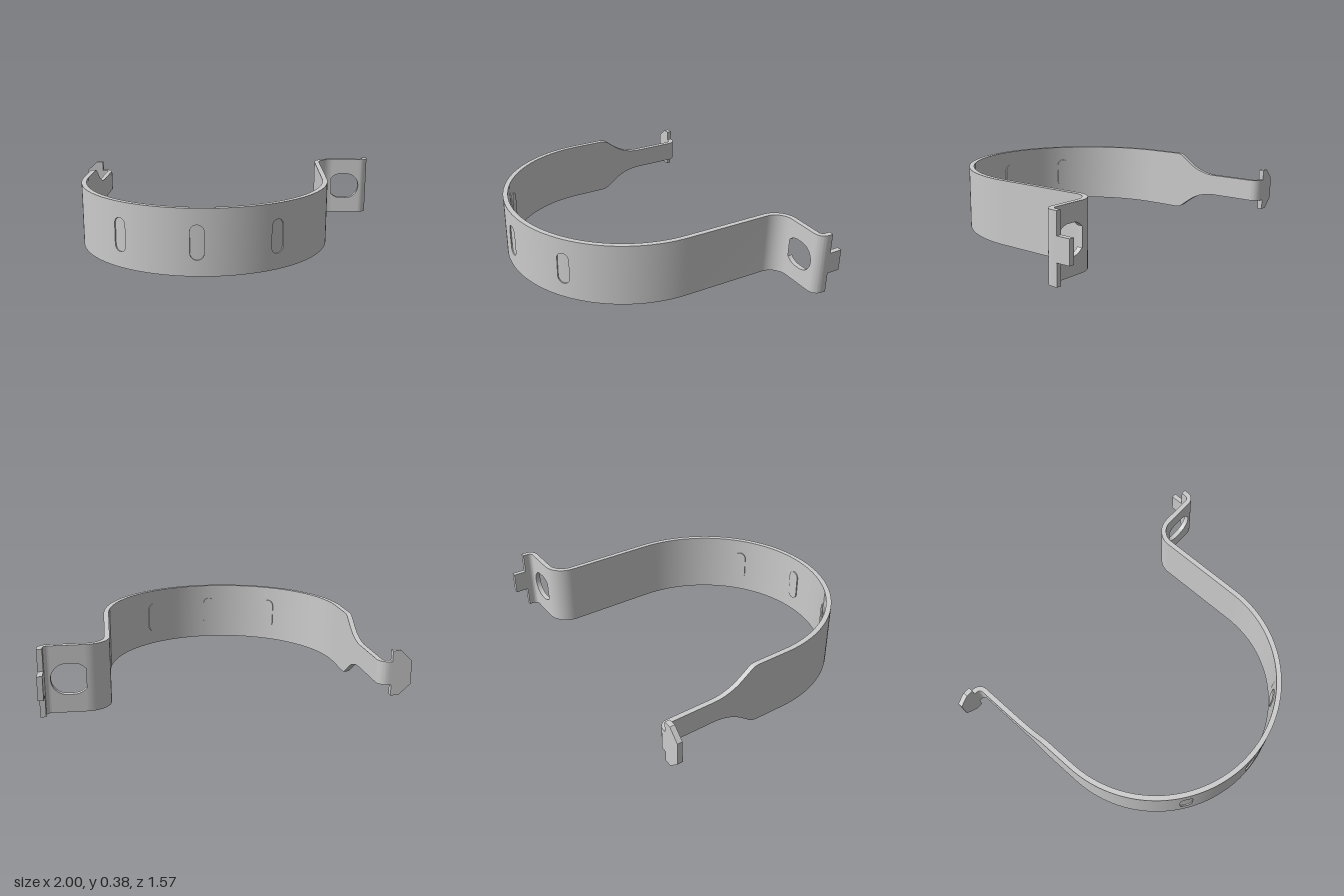
import * as THREE from 'three';
import { toCreasedNormals } from 'three/addons/utils/BufferGeometryUtils.js';

const H = 0.375, MID = H / 2, T = 0.03, NECK = 0.066;

// Centreline seen from above: [length, turn angle], starting at the hook tip heading +x
const Q = Math.PI / 2;
const SEGMENTS = [
  [0.125, 0], [0.04 * Q, Q],              // hook, tight bend
  [0.76, 0], [0.735 * 2 * Q, -2 * Q],     // right arm, half circle
  [0.535, 0], [0.115 * Q, Q],             // left arm, wide bend
  [0.192, 0], [0.04 * Q, -Q],             // flange, tight bend
  [0.11, 0],                              // end lip
];

// Start position and heading of every segment
const path = [];
{
  let x = -1, z = -0.77, a = 0, s = 0;
  for (const [len, turn] of SEGMENTS) {
    path.push({ x, z, a, s, len, turn });
    if (turn) {
      const r = len / turn;
      x += r * (Math.sin(a + turn) - Math.sin(a));
      z -= r * (Math.cos(a + turn) - Math.cos(a));
    } else {
      x += len * Math.cos(a);
      z += len * Math.sin(a);
    }
    a += turn;
    s += len;
  }
}
const END = path[8].s + path[8].len;

// Point on the bent sheet: s along it, off outwards, y up
function bend(s, off, y) {
  let p = path[0];
  for (const q of path) if (s >= q.s - 1e-7) p = q;
  const t = s - p.s, a = p.a + p.turn * t / p.len;
  let { x, z } = p;
  if (p.turn) {
    const r = p.len / p.turn;
    x += r * (Math.sin(a) - Math.sin(p.a));
    z -= r * (Math.cos(a) - Math.cos(p.a));
  } else {
    x += t * Math.cos(a);
    z += t * Math.sin(a);
  }
  return [x - off * Math.sin(a), y, z + off * Math.cos(a)];
}

// Stations from a to b, dense on the bends only
function stations(a, b) {
  const out = [a];
  for (const p of path) {
    const s0 = Math.max(a, p.s), s1 = Math.min(b, p.s + p.len);
    if (s1 - s0 < 1e-6) continue;
    const per = p.len > 1 ? 0.04 : 0.13;
    const n = p.turn ? Math.ceil(Math.abs(p.turn) * (s1 - s0) / p.len / per) : 1;
    for (let i = 1; i <= n; i++) out.push(s0 + (s1 - s0) * i / n);
  }
  return out;
}

// Stations bunched towards the ends, for rounded openings
const rounded = (c, r, n = 16) =>
  Array.from({ length: n + 1 }, (_, i) => c - r * Math.cos(Math.PI * i / n));

// Append a bent solid strip between the heights lo(s) and hi(s)
function band(pos, list, lo, hi, { start = false, end = false, shift = 0 } = {}) {
  const quad = (a, b, c, d) => pos.push(...a, ...b, ...c, ...a, ...c, ...d);
  const rows = list.map((s) => {
    const o = shift + T / 2, i = shift - T / 2;
    return [bend(s, o, lo(s)), bend(s, o, hi(s)), bend(s, i, hi(s)), bend(s, i, lo(s))];
  });
  for (let k = 0; k + 1 < rows.length; k++) {
    const [a, b] = [rows[k], rows[k + 1]];
    for (let j = 0; j < 4; j++) quad(a[j], b[j], b[(j + 1) % 4], a[(j + 1) % 4]);
  }
  if (start) { const r = rows[0]; quad(r[3], r[0], r[1], r[2]); }
  if (end) { const r = rows[rows.length - 1]; quad(r[0], r[3], r[2], r[1]); }
}

// Strip symmetrical about the middle height
const centred = (pos, list, half, opt) =>
  band(pos, list, (s) => MID - half(s), (s) => MID + half(s), opt);

export function createModel() {
  const group = new THREE.Group();
  const material = new THREE.MeshStandardMaterial({ color: 0xcccccc });
  const add = (name, build) => {
    const pos = [];
    build(pos);
    const g = new THREE.BufferGeometry();
    g.setAttribute('position', new THREE.Float32BufferAttribute(pos, 3));
    const mesh = new THREE.Mesh(toCreasedNormals(g, 0.5), material);
    mesh.name = name;
    group.add(mesh);
  };
  const full = () => MID, neck = () => NECK;

  // Arrow-shaped hook at the end of the right arm
  add('hookHead', (pos) => {
    centred(pos, [0, 0.065], (s) => NECK + 0.0615 * s / 0.065, { start: true });
    centred(pos, [0.065, 0.11], () => 0.1275, { end: true });
  });

  // Narrow neck widening into the strap with an S-shaped edge
  const armZ = (z) => path[2].s + z + 0.73;
  const taper = new THREE.SplineCurve([
    [-0.46, NECK], [-0.41, 0.07], [-0.35, 0.086], [-0.3, 0.11], [-0.25, 0.145],
    [-0.21, 0.175], [-0.19, 0.184], [-0.165, MID],
  ].map(([z, h]) => new THREE.Vector2(armZ(z), h))).getPoints(28);
  add('hookNeck', (pos) => {
    centred(pos, stations(0.11, taper[0].x), neck);
    centred(pos, taper.map((p) => p.x), (s) => taper.find((p) => p.x === s).y);
  });

  // Strap with three upright slots; shallow pads fill them, pressed inwards
  const arc = path[3], slotR = 0.0375, slotHalf = 0.097;
  const slots = [-35, 0, 35].map((d) => arc.s + arc.len * (0.5 + d / 180));
  const slotEdge = (c) => (s) =>
    slotHalf - slotR + Math.sqrt(Math.max(0, slotR * slotR - (s - c) ** 2));
  add('strap', (pos) => {
    let from = armZ(-0.165);
    slots.forEach((c, i) => {
      const edge = slotEdge(c), list = rounded(c, slotR);
      centred(pos, stations(from, c - slotR), full, { start: i > 0, end: true });
      band(pos, list, () => 0, (s) => MID - edge(s));
      band(pos, list, (s) => MID + edge(s), () => H);
      from = c + slotR;
    });
    centred(pos, stations(from, path[6].s), full, { start: true });
  });
  slots.forEach((c, i) => add('pressedPad' + (i + 1), (pos) =>
    centred(pos, rounded(c, slotR), slotEdge(c), { start: true, end: true, shift: -0.007 })));

  // Flange with an oblong bolt hole
  const holeR = 0.0865, holeHalf = 0.104;
  const holeC = path[6].s + 0.084, lipEnd = path[8].s + 0.03;
  const holeEdge = (s) => {
    const d = Math.max(0, Math.abs(s - holeC) - (holeHalf - holeR));
    return Math.sqrt(Math.max(0, holeR * holeR - d * d));
  };
  add('flange', (pos) => {
    const shift = holeHalf - holeR, ring = rounded(0, holeR, 32);
    const list = [
      ...ring.slice(0, 17).map((s) => holeC - shift + s),
      ...ring.slice(16).map((s) => holeC + shift + s),
    ];
    const a = list[0], b = list[list.length - 1];
    if (a > path[6].s) centred(pos, stations(path[6].s, a), full);
    // the hole may run a hair past the flat, so the strips start at its rim
    const rim = list.filter((s) => s >= path[6].s);
    if (a < path[6].s) rim.unshift(path[6].s);
    band(pos, rim, () => 0, (s) => MID - holeEdge(s));
    band(pos, rim, (s) => MID + holeEdge(s), () => H);
    centred(pos, stations(b, lipEnd), full, { end: true });
  });

  // Small tab on the lip
  add('lipTab', (pos) => centred(pos, [lipEnd, END], neck, { end: true }));

  return group;
}
